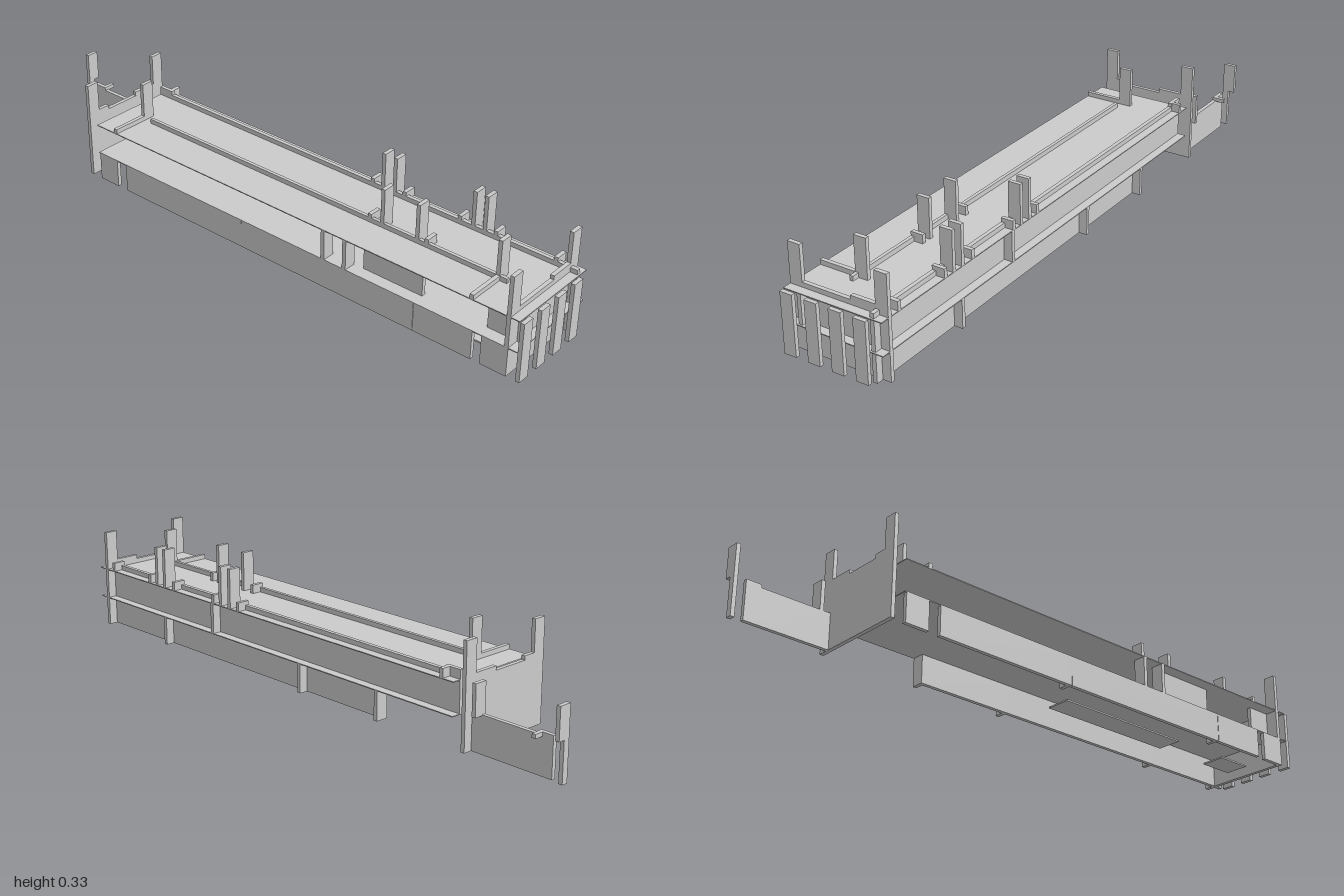
import * as THREE from 'three';

export function createModel() {
  const root = new THREE.Group();
  const mat = new THREE.MeshStandardMaterial({ color: 0xcccccc, flatShading: true });
  // box given by its extents on each axis
  const box = (name, x0, x1, y0, y1, z0, z1) => {
    const m = new THREE.Mesh(new THREE.BoxGeometry(x1 - x0, y1 - y0, z1 - z0), mat);
    m.position.set((x0 + x1) / 2, (y0 + y1) / 2, (z0 + z1) / 2);
    m.name = name;
    root.add(m);
  };
  const T = 0.013, E = 0.163, W = 0.122, G = 0.005, F1 = 0.1, F2 = 0.2;
  // thin panel facing front, centred on z
  const fin = (name, x0, x1, y0, y1, z) => box(name, x0, x1, y0, y1, z - T / 2, z + T / 2);

  // floor slabs and ground plates
  box('middleSlab', -E, E, F1 - 0.003, F1, -0.635, 0.985);
  box('roofSlab', -E, E, F2 - 0.003, F2, -0.635, 0.985);
  box('groundPlate', -0.081, 0, 0, G, 0.05, 0.54);
  box('groundPlate', -0.081, 0, 0, G, 0.75, 0.87);

  // gallery walls along the left side
  box('upperGalleryWall', W, W + T, F1, F2 - 0.003, -0.635, 0.98);
  for (const [a, b] of [[0.64, 0.98], [-0.01, 0.628], [-0.34, -0.02]])
    box('lowerGalleryWall', W, W + T, G, F1 - 0.003, a, b);
  for (const z of [0.634, -0.015, -0.34]) fin('lowerGalleryFin', W, E, G, F1 - 0.003, z);
  fin('upperGalleryFin', W, E, F1, F2 - 0.003, 0.39);

  // lower walls along the right side, flush with the slab edge
  for (const [a, b] of [[-0.63, -0.55], [-0.51, -0.02], [-0.008, 0.63], [0.642, 0.84], [0.87, 0.945]])
    box('lowerSideWall', -E, -E + T, G, F1 - 0.003, a, b);
  for (const z of [0.634, -0.015]) fin('lowerSideFin', -E, -W, G, F1 - 0.003, z);

  // recessed upper walls on the right side; the rest stays open
  for (const [a, b] of [[0.43, 0.64], [0.86, 0.98]])
    box('upperSideWall', -W, -W + T, F1, F2 - 0.003, a, b);
  for (const z of [0.31, 0.39]) fin('upperSideFin', -E, -W, F1, F2 - 0.003, z);

  // front wall, corner posts and spaced front panels
  fin('frontWall', -E, E, G, 0.215, 0.95);
  fin('frontWallCap', 0.04, W, 0.215, 0.228, 0.95);
  for (const s of [-1, 1])
    for (const z of [0.95, -0.674])
      fin('cornerPost', s < 0 ? -E : W, s < 0 ? -W : E, F2, 0.327, z);
  for (const x of [-E, -0.081, 0, 0.081])
    fin('frontPanel', x, x + 0.041, G, F2 - 0.003, 0.9935);

  // back wall with stepped top
  fin('backWall', -E, E, G, 0.215, -0.674);
  fin('backWallCap', -W, -0.081, 0.215, 0.228, -0.674);
  fin('backWallCap', 0.04, W, 0.215, 0.228, -0.674);

  // low walls on the roof
  box('roofEdgeCurb', W, W + T, F2, 0.215, -0.635, 0.98);
  box('roofMiddleCurb', -0.041, -0.03, F2, 0.215, -0.515, 0.86);
  box('roofCurbEnd', W, W + T, 0.215, 0.228, -0.635, -0.58);
  for (const z of [0.83, -0.55]) {
    fin('roofCrossCurb', -E, -0.041, F2, 0.215, z);
    fin('roofPost', -0.041, 0, F2, 0.327, z);
  }
  for (const z of [0.43, 0.555]) fin('roofPost', -0.041, 0, F2, 0.327, z);
  for (const z of [0.385, 0.588]) fin('roofStub', -0.041, 0, F2, 0.228, z);
  for (const z of [0.305, 0.348, 0.632, 0.672]) fin('roofPost', W, E, F2, 0.327, z);
  for (const z of [0.265, 0.385, 0.585, 0.71, 0.91, -0.59]) fin('roofStub', W, E, F2, 0.228, z);

  // garden wall reaching out behind
  box('gardenWall', W, W + T, G, 0.12, -0.96, -0.68);
  box('gardenWallCap', W, W + T, 0.12, 0.13, -0.96, -0.91);
  fin('gardenWallStub', W, E, 0.117, 0.13, -0.917);
  fin('gardenWallPost', W, E, 0.117, 0.215, -0.71);
  fin('endPostBase', W, W + 0.02, G, 0.13, -0.9935);
  fin('endPostTop', W, E, 0.13, 0.228, -0.9935);
  return root;
}
